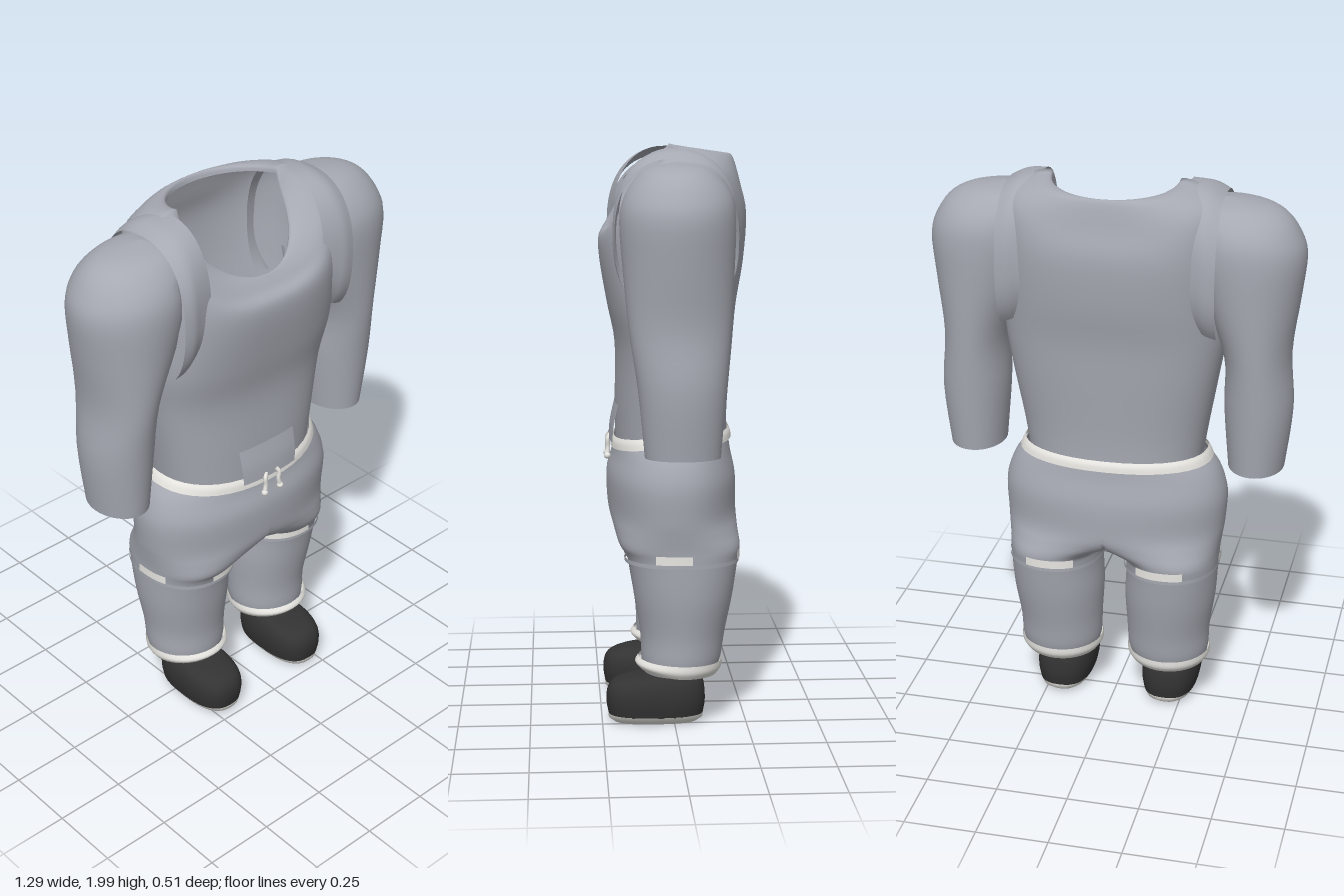
import * as THREE from 'three';
import { mergeGeometries, mergeVertices } from 'three/addons/utils/BufferGeometryUtils.js';

const mat = (name, color) => {
  const m = new THREE.MeshStandardMaterial({ color, side: THREE.DoubleSide });
  m.name = name;
  return m;
};

// Cubic blend between cross-sections: [y, cx, cz, rx, rz, power, frontDip, backDip, dipPower]
const DEFAULTS = [0, 0, 0, 0, 0, 2, 0, 0, 1];
function sectionAt(knots, t) {
  const i = Math.min(Math.floor(t), knots.length - 2), f = t - i;
  const k = n => knots[Math.max(0, Math.min(knots.length - 1, n))];
  return DEFAULTS.map((d, c) => {
    const [a, b, e, g] = [k(i - 1), k(i), k(i + 1), k(i + 2)].map(s => s[c] ?? d);
    const m0 = (e - a) / 2, m1 = (g - b) / 2, f2 = f * f, f3 = f2 * f;
    return (2 * f3 - 3 * f2 + 1) * b + (f3 - 2 * f2 + f) * m0 + (3 * f2 - 2 * f3) * e + (f3 - f2) * m1;
  });
}

// Skin of superellipse rings; angle 0 is the front, a quarter turn is +x (times side).
// With minX the rings are cut off at that x and left open there.
function loft(knots, { sub = 4, cols = 40, from = 0, to = Math.PI * 2, side = 1, minX = -9 } = {}) {
  const closed = to - from > 6.28, n = closed ? cols : cols + 1;
  const rows = (knots.length - 1) * sub, pos = [], idx = [];
  const bend = (v, p) => Math.sign(v) * Math.pow(Math.abs(v), 2 / p);
  for (let i = 0; i <= rows; i++) {
    const [y, cx, cz, rx, rz, p, front, back, dp] = sectionAt(knots, i / sub);
    for (let j = 0; j < n; j++) {
      const a = from + (to - from) * j / cols, c = Math.cos(a);
      const x = Math.max(minX, cx + rx * bend(Math.sin(a), p));
      const dip = (c > 0 ? front : back) * Math.pow(Math.abs(c), dp);
      pos.push(x * side, y + dip, cz + rz * bend(c, p));
    }
  }
  const quad = (a, b, c, d) => {
    if ([a, b, c, d].every(v => pos[v * 3] * side < minX + 1e-4)) return;
    if (side > 0) idx.push(a, b, d, b, c, d); else idx.push(a, d, b, b, d, c);
  };
  for (let i = 0; i < rows; i++) for (let j = 0; j < cols; j++) {
    const k = (j + 1) % n;
    quad(i * n + j, i * n + k, (i + 1) * n + k, (i + 1) * n + j);
  }
  const g = new THREE.BufferGeometry();
  g.setAttribute('position', new THREE.Float32BufferAttribute(pos, 3));
  g.setIndex(idx);
  g.computeVertexNormals();
  return g;
}

const TORSO = [
  [0.97, 0, 0, 0.305, 0.193, 2.4, 0, 0, 1.8],
  [1.1, 0, 0, 0.325, 0.195, 2.4, 0, 0, 1.8],
  [1.3, 0, -0.008, 0.36, 0.202, 2.5, 0, 0, 1.8],
  [1.45, 0, 0, 0.383, 0.222, 2.6, 0, 0, 1.8],
  [1.6, 0, 0, 0.383, 0.247, 2.6, 0, 0, 1.8],
  [1.76, 0, -0.005, 0.378, 0.252, 2.7, -0.08, 0, 1.8],
  [1.92, 0, -0.01, 0.365, 0.225, 2.8, -0.21, -0.06, 1.8],
  [1.975, 0, -0.01, 0.29, 0.205, 2.4, -0.24, -0.03, 1.2],
  [1.99, 0, -0.01, 0.225, 0.19, 2, -0.24, -0.03, 0.75],
  [1.97, 0, -0.01, 0.214, 0.182, 2, -0.235, -0.03, 0.75],
];
// Flap of the vest hanging over the front of the waistband
const HEM = [
  [0.97, 0, 0, 0.34, 0.218, 2.2],
  [1.03, 0, 0, 0.335, 0.212, 2.3],
  [1.1, 0, 0, 0.326, 0.196, 2.4],
];
const ARM = [
  [0.98, 0.50, -0.012, 0.097, 0.125],
  [1.2, 0.502, -0.01, 0.118, 0.145],
  [1.4, 0.492, -0.003, 0.115, 0.167],
  [1.6, 0.462, 0, 0.169, 0.183],
  [1.75, 0.44, 0.002, 0.205, 0.19],
  [1.83, 0.425, 0, 0.194, 0.175],
  [1.89, 0.40, 0, 0.172, 0.135],
  [1.922, 0.385, 0, 0.115, 0.088],
  [1.938, 0.375, 0, 0.002, 0.002],
];
const LEG = [
  [0.18, 0.202, -0.02, 0.13, 0.125],
  [0.23, 0.2, -0.025, 0.145, 0.138],
  [0.32, 0.2, -0.03, 0.15, 0.147],
  [0.45, 0.206, -0.032, 0.162, 0.17, 2.1],
  [0.58, 0.212, -0.03, 0.163, 0.19, 2.2],
  [0.63, 0.2, -0.02, 0.178, 0.208, 2.2],
  [0.68, 0.12, -0.01, 0.265, 0.215, 2.2],
  [0.74, 0, -0.003, 0.393, 0.224, 2.2],
  [0.85, 0, 0, 0.397, 0.225, 2.2],
  [0.94, 0, 0, 0.37, 0.207, 2.2, -0.015, 0, 1.5],
  [1.0, 0, 0, 0.325, 0.2, 2.2, -0.03, 0, 1.5],
];
const WAIST = [
  [0.982, 0, 0, 0.345, 0.211, 2.2, -0.037, 0, 1.5],
  [1.003, 0, 0, 0.336, 0.208, 2.2, -0.036, 0, 1.5],
  [1.018, 0, 0, 0.326, 0.2, 2.2, -0.035, 0, 1.5],
];
const CUFF = [
  [0.178, 0.2, -0.015, 0.137, 0.135, 2, 0.015, -0.005],
  [0.2, 0.2, -0.015, 0.15, 0.15, 2, 0.012, -0.005],
  [0.226, 0.2, -0.022, 0.149, 0.145, 2, 0.005, -0.005],
];
// Bands around the thigh sit just proud of the leg
const thigh = (y0, y1, grow) => [y0, y1].map(y => [y, 0.21, -0.027, 0.167 + grow, 0.194 + grow, 2.2]);
const SHOE = [
  [0.028, 0.198, 0.063, 0.096, 0.165, 2.6],
  [0.07, 0.198, 0.063, 0.103, 0.172, 2.6],
  [0.11, 0.198, 0.062, 0.102, 0.17, 2.6],
  [0.14, 0.198, 0.055, 0.094, 0.158, 2.5],
  [0.159, 0.198, 0.036, 0.082, 0.13, 2.3],
  [0.172, 0.198, 0.002, 0.074, 0.094],
  [0.215, 0.198, 0, 0.066, 0.084],
];
const SOLE = [
  [0.002, 0.198, 0.063, 0, 0, 2.6],
  [0, 0.198, 0.063, 0.07, 0.145, 2.6],
  [0.03, 0.198, 0.063, 0.097, 0.166, 2.6],
];
const INSOLE = [
  [0.04, 0.198, 0.063, 0.096, 0.165, 2.6],
  [0.04, 0.198, 0.063, 0, 0, 2.6],
];
// Shoulder strap is lofted upright, then laid along x
const STRAP = [
  [0.25, -1.72, -0.002, 0.262, 0.19, 2.3],
  [0.30, -1.715, 0, 0.262, 0.203, 2.4],
  [0.335, -1.70, 0, 0.268, 0.211, 2.4],
  [0.372, -1.685, 0, 0.264, 0.206, 2.4],
];

export function createModel() {
  const model = new THREE.Group();
  model.name = 'outfit';
  const cloth = mat('grey cloth', 0xa6a9b2);
  const light = mat('off-white trim', 0xe9e8e3);
  const dark = mat('dark shoe', 0x333333);
  const add = (name, geo, material) => {
    const m = new THREE.Mesh(geo, material);
    m.name = name;
    model.add(m);
    return m;
  };

  add('vest', loft(TORSO, { cols: 56 }), cloth);
  add('vestHem', loft(HEM, { from: -0.32, to: 0.32, cols: 12 }), cloth);

  // Trousers: two mirrored halves joined along the middle
  const halves = [1, -1].map(side => loft(LEG, { side, minX: 0, cols: 48, sub: 5 }));
  halves.forEach(g => g.deleteAttribute('normal'));
  const trousers = mergeVertices(mergeGeometries(halves), 1e-4);
  trousers.computeVertexNormals();
  add('trousers', trousers, cloth);
  add('waistband', loft(WAIST), light);

  for (const side of [1, -1]) {
    const s = side > 0 ? 'left' : 'right';
    add(s + 'Sleeve', loft(ARM, { side, minX: 0.355 }), cloth);
    const strap = loft(STRAP, { from: -Math.PI - 0.8, to: 0.8 });
    strap.rotateZ(-Math.PI / 2);
    if (side < 0) strap.rotateY(Math.PI);
    add(s + 'ShoulderStrap', strap, cloth);

    // Leg hems and light patches
    add(s + 'ThighHem', loft(thigh(0.574, 0.588, 0.003), { side, sub: 1 }), cloth);
    for (const [from, to] of [[-1.0, 0.1], [1.1, 1.68], [2.75, 3.7]])
      add(s + 'ThighPatch', loft(thigh(0.588, 0.618, 0.006), { side, from, to, sub: 1, cols: 12 }), light);
    add(s + 'Cuff', loft(CUFF, { side }), light);

    // Shoe
    add(s + 'Shoe', loft(SHOE, { side }), dark);
    add(s + 'Sole', loft(SOLE, { side, sub: 2 }), light);
    add(s + 'Insole', loft(INSOLE, { side, sub: 1 }), light);

    // Drawstring with a knotted end
    const path = new THREE.CatmullRomCurve3([
      [0.022, 0.985, 0.212], [0.032, 0.97, 0.221], [0.03, 0.94, 0.221], [0.036, 0.912, 0.223],
    ].map(([x, y, z]) => new THREE.Vector3(x * side, y, z)));
    add(s + 'Drawstring', new THREE.TubeGeometry(path, 12, 0.008, 8), light);
    add(s + 'DrawstringEnd', new THREE.SphereGeometry(0.012, 12, 8), light).position.set(0.036 * side, 0.91, 0.223);
  }
  return model;
}
